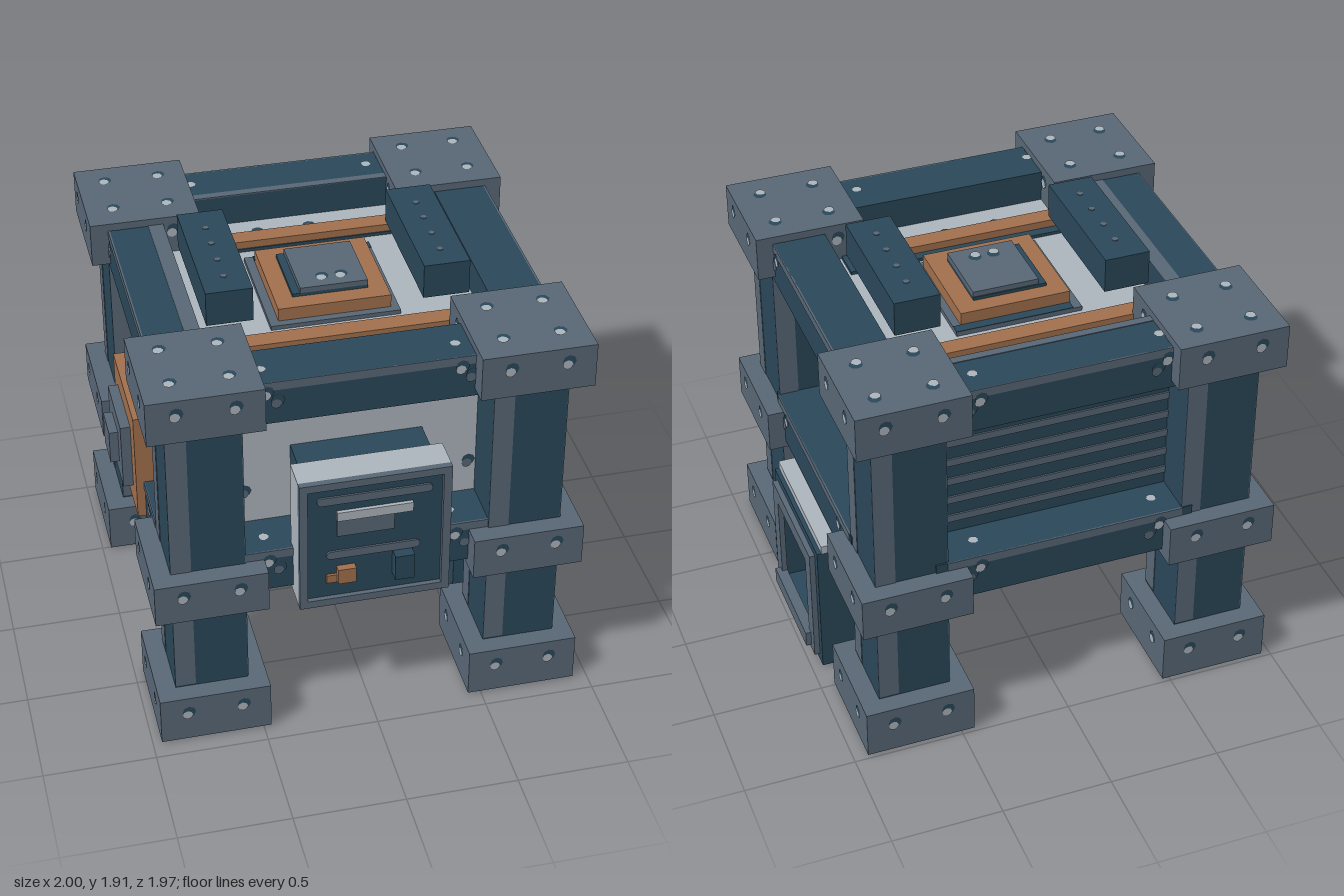
import * as THREE from 'three';

export function createModel() {
  const root = new THREE.Group();
  const mat = (name, color) => {
    const m = new THREE.MeshStandardMaterial({ color });
    m.name = name;
    return m;
  };
  const navy = mat('navy steel', 0x2b485a);
  const slate = mat('slate steel', 0x5a6978);
  const pale = mat('pale plate', 0xafb7bf);
  const copper = mat('copper', 0xa3714e);

  const add = (name, geo, m, parent = root) => {
    const mesh = new THREE.Mesh(geo, m);
    mesh.name = name;
    parent.add(mesh);
    return mesh;
  };
  // box from its min and max along each axis
  const box = (name, m, x0, x1, y0, y1, z0, z1, parent) => {
    const b = add(name, new THREE.BoxGeometry(x1 - x0, y1 - y0, z1 - z0), m, parent);
    b.position.set((x0 + x1) / 2, (y0 + y1) / 2, (z0 + z1) / 2);
    return b;
  };
  // rectangular frame facing +z
  const frameGeo = (w, h, border, depth) => {
    const rect = (P, a, b) => {
      const p = new P();
      p.moveTo(-a, -b); p.lineTo(a, -b); p.lineTo(a, b); p.lineTo(-a, b); p.closePath();
      return p;
    };
    const s = rect(THREE.Shape, w / 2, h / 2);
    s.holes.push(rect(THREE.Path, w / 2 - border, h / 2 - border));
    return new THREE.ExtrudeGeometry(s, { depth, bevelEnabled: false });
  };
  // flat bar with rounded ends facing +z
  const pill = (name, m, x0, x1, y0, y1, z) => {
    const r = (y1 - y0) / 2, s = new THREE.Shape();
    s.absarc(x1 - r, y0 + r, r, -Math.PI / 2, Math.PI / 2);
    s.absarc(x0 + r, y0 + r, r, Math.PI / 2, Math.PI * 1.5);
    add(name, new THREE.ExtrudeGeometry(s, { depth: 0.009, bevelEnabled: false }), m).position.z = z;
  };
  // flush bolt: a disc over a dark ring, facing along (nx, ny, nz)
  const headGeo = new THREE.CircleGeometry(0.023, 8).translate(-0.004, -0.006, 0.005);
  const ringGeo = new THREE.CircleGeometry(0.03, 8).translate(0.003, 0.01, 0.003);
  const bolt = (m, x, y, z, nx, ny, nz, parent = root) => {
    const g = new THREE.Group();
    g.name = 'bolt';
    g.position.set(x, y, z);
    g.rotation.set(-ny * Math.PI / 2, Math.atan2(nx, nz), 0);
    parent.add(g);
    add('boltRing', ringGeo, navy, g);
    add('boltHead', headGeo, m, g);
  };

  // corner posts with bolted foot, collar and cap
  const X = [-0.713, 0.688], Z = [-0.737, 0.668], H = 0.247;
  for (const px of X) for (const pz of Z) {
    const g = new THREE.Group();
    g.name = 'cornerPost';
    g.position.set(px, 0, pz);
    root.add(g);
    box('post', navy, -0.162, 0.162, 0.2, 1.65, -0.162, 0.162, g);
    // worn strip down the left of each face
    for (let i = 0; i < 4; i++) {
      const side = new THREE.Group();
      side.name = 'postFace';
      side.rotation.y = i * Math.PI / 2;
      g.add(side);
      box('wornStrip', slate, -0.162, -0.072, 0.24, 1.62, 0.16, 0.165, side);
    }
    for (const [name, y0, y1] of [['foot', 0, 0.23], ['collar', 0.67, 0.87], ['cap', 1.615, 1.82]]) {
      box(name, slate, -H, H, y0, y1, -H, H, g);
      const y = (y0 + y1) / 2 + 0.03;
      for (const t of [-0.123, 0.123]) for (const s of [-1, 1]) {
        bolt(pale, t, y, s * H, 0, 0, s, g);
        bolt(pale, s * H, y, t, s, 0, 0, g);
        if (name === 'cap') bolt(pale, t, y1, s * 0.123, 0, 1, 0, g);
        if (name === 'foot') bolt(pale, t, 0, s * 0.123, 0, -1, 0, g);
      }
    }
  }

  // horizontal beams between the posts, with worn upper edges
  for (const [y0, y1] of [[1.58, 1.785], [0.705, 0.912]]) {
    for (const [z0, z1, out, s] of [[-0.907, -0.667, -0.907, -1], [0.582, 0.822, 0.822, 1]]) {
      box('crossBeam', navy, -0.6, 0.58, y0, y1, z0, z1);
      box('wornStrip', slate, -0.55, 0.53, y1 - 0.04, y1, out - 0.004, out + 0.004);
      for (const [a, b] of [[-0.445, -0.4], [0.38, 0.425]]) {
        bolt(slate, b, y1 - 0.1, out + s * 0.002, 0, 0, s);
        bolt(pale, a, y1 - 0.055, out + s * 0.004, 0, 0, s);
        bolt(pale, a, y1, (z0 + z1) / 2 + s * 0.02, 0, 1, 0);
      }
    }
    for (const [x0, x1, out, s] of [[-0.877, -0.632, -0.877, -1], [0.622, 0.857, 0.857, 1]]) {
      box('sideBeam', navy, x0, x1, y0, y1, -0.6, 0.53);
      box('wornStrip', slate, out - 0.004, out + 0.004, y1 - 0.04, y1, -0.575, 0.505);
      for (const [a, b] of [[-0.43, -0.475], [0.36, 0.405]]) {
        bolt(slate, out + s * 0.002, y1 - 0.1, b, s, 0, 0);
        bolt(pale, out + s * 0.004, y1 - 0.055, a, s, 0, 0);
      }
    }
  }
  box('wornStrip', slate, -0.47, 0.44, 1.782, 1.788, -0.705, -0.667);
  box('wornStrip', slate, -0.7, -0.632, 1.782, 1.788, -0.49, 0.42);

  // main body
  box('body', pale, -0.64, 0.62, 0.69, 1.64, -0.68, 0.6);
  box('bottomPlate', slate, -0.535, 0.51, 0.64, 0.69, -0.565, 0.49);
  for (const y of [1.48, 1.07]) {
    for (const x of [-0.505, -0.09, 0.15, 0.49]) bolt(slate, x, y, 0.6, 0, 0, 1);
    for (const z of [-0.55, -0.21, 0.04, 0.47]) {
      bolt(slate, 0.62, y, z, 1, 0, 0);
      bolt(slate, -0.64, y, z, -1, 0, 0);
    }
  }
  for (const x of [-0.19, 0.05]) for (const z of [-0.56, 0.46]) bolt(slate, x, 1.64, z, 0, 1, 0);

  // louvred back
  box('louvrePanel', navy, -0.6, 0.58, 0.88, 1.6, -0.71, -0.67);
  for (let i = 0; i < 6; i++)
    box('louvreSlat', slate, -0.56, 0.54, 0.97 + i * 0.1, 1.005 + i * 0.1, -0.718, -0.709);

  // roof: raised bars, copper rails and stepped hatch
  for (const x of [-0.487, 0.462]) {
    box('roofBar', navy, x - 0.102, x + 0.102, 1.74, 1.9, -0.37, 0.29);
    for (const z of [-0.23, -0.1, 0.035, 0.17])
      add('roofRivet', new THREE.CylinderGeometry(0.014, 0.014, 0.004, 8), slate).position.set(x, 1.901, z);
  }
  for (const [a, b] of [[-0.5, -0.415], [0.325, 0.412]]) {
    box('railBase', navy, -0.56, 0.55, 1.64, 1.655, a - 0.045, b + 0.005);
    box('copperRail', copper, -0.51, 0.485, 1.655, 1.69, a, b);
  }
  box('hatchBase', slate, -0.3, 0.275, 1.64, 1.66, -0.33, 0.24);
  box('hatchShade', navy, -0.26, 0.275, 1.658, 1.664, -0.33, -0.285);
  box('hatchBody', copper, -0.26, 0.24, 1.66, 1.72, -0.285, 0.205);
  box('hatchSeat', navy, -0.18, 0.155, 1.72, 1.735, -0.21, 0.125);
  box('hatchLid', slate, -0.145, 0.155, 1.735, 1.76, -0.205, 0.125);
  for (const x of [-0.035, 0.05]) bolt(pale, x, 1.76, 0.06, 0, 1, 0);

  // front control box
  box('controlMount', navy, -0.3, 0.28, 0.71, 1.29, 0.6, 0.79);
  box('controlBox', pale, -0.34, 0.32, 0.67, 1.325, 0.78, 0.92);
  add('controlFrame', frameGeo(0.66, 0.655, 0.036, 0.03), slate).position.set(-0.01, 0.9975, 0.92);
  box('controlFace', navy, -0.305, 0.285, 0.7, 1.29, 0.915, 0.928);
  pill('upperVent', slate, -0.26, 0.24, 1.2, 1.24, 0.928);
  pill('lowerVent', slate, -0.22, 0.19, 0.91, 0.95, 0.928);
  box('slotPlate', slate, -0.175, 0.075, 1.03, 1.12, 0.925, 0.938);
  box('slotHandle', pale, -0.175, 0.155, 1.115, 1.16, 0.925, 0.945);
  box('copperButton', copper, -0.175, -0.095, 0.79, 0.865, 0.925, 0.962);
  box('copperTab', copper, -0.22, -0.17, 0.785, 0.825, 0.925, 0.94);
  box('lever', navy, 0.07, 0.155, 0.785, 0.91, 0.925, 0.985);

  // small box on the left wall
  box('wallBox', navy, 0.62, 0.74, 1.16, 1.445, -0.525, -0.2);
  box('wallBoxHandle', slate, 0.737, 0.746, 1.28, 1.32, -0.435, -0.29);
  box('wallBoxLip', slate, 0.737, 0.744, 1.42, 1.445, -0.46, -0.25);

  // stepped copper unit on the right wall
  box('unitMount', navy, -0.83, -0.64, 0.76, 1.22, -0.27, 0.185);
  box('copperUnit', copper, -0.915, -0.82, 0.725, 1.255, -0.305, 0.22);
  box('unitPlate', slate, -0.96, -0.91, 0.83, 1.15, -0.21, 0.125);
  box('unitKnob', slate, -1.0, -0.955, 0.91, 1.07, -0.12, 0.04);

  // open collection bin under the left side, built facing +z then turned to +x
  const bin = new THREE.Group();
  bin.name = 'collectionBin';
  bin.position.set(0.54, 0.33, -0.035);
  bin.rotation.y = Math.PI / 2;
  root.add(bin);
  add('binShell', frameGeo(0.66, 0.655, 0.09, 0.41), navy, bin);
  box('binBack', navy, -0.29, 0.29, -0.29, 0.29, 0, 0.2, bin);
  add('binFrame', frameGeo(0.58, 0.58, 0.075, 0.025), slate, bin).position.z = 0.41;
  box('binTray', slate, -0.245, 0.245, -0.265, -0.19, 0.41, 0.46, bin);
  box('binChute', slate, -0.04, 0.04, 0.0, 0.12, 0.2, 0.23, bin);
  box('binSpout', copper, -0.085, 0.085, -0.035, 0.005, 0.2, 0.25, bin);
  box('binSpout', copper, -0.04, 0.04, -0.085, -0.035, 0.2, 0.25, bin);
  box('binTop', pale, -0.33, 0.33, 0.327, 0.365, 0, 0.39, bin);

  // tapering stack of turned slabs on a central shaft
  box('shaft', navy, -0.093, 0.067, 0.1, 0.65, -0.117, 0.043);
  [[0.326, 21], [0.278, 0], [0.228, -23], [0.19, -25], [0.13, 26], [0.085, 0]].forEach(([h, deg], i) => {
    const s = add('drillSlab', new THREE.BoxGeometry(h * 2, 0.066, h * 2), slate);
    s.position.set(-0.013, 0.587 - i * 0.0935, -0.037);
    s.rotation.y = THREE.MathUtils.degToRad(deg);
  });

  return root;
}
